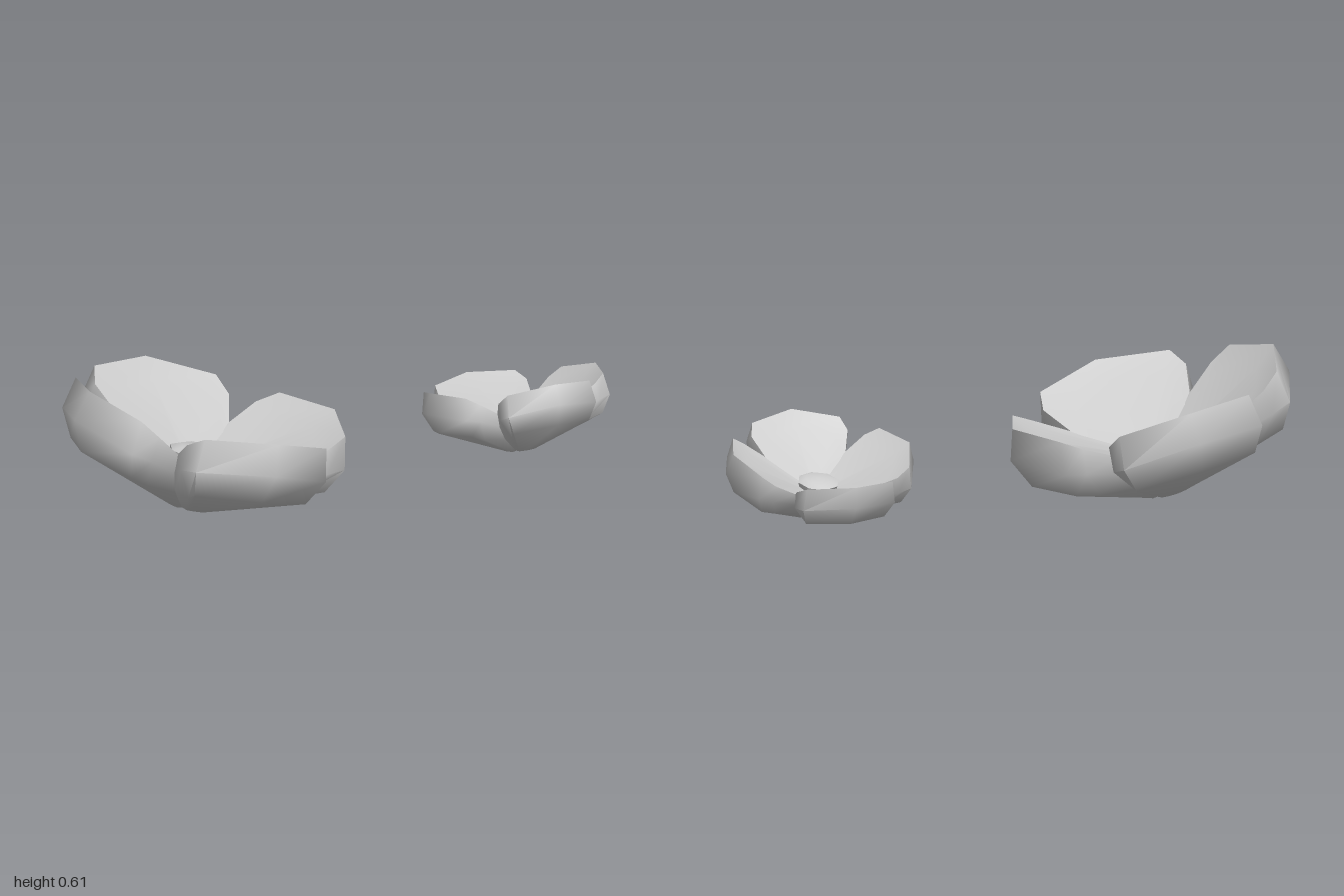
import * as THREE from 'three';
import { toCreasedNormals } from 'three/addons/utils/BufferGeometryUtils.js';

const material = new THREE.MeshStandardMaterial({ color: 0xcccccc });

// Each row runs notch, side, corner, tip as [outward, sideways, height]; the other half is mirrored.
const rows = [
  [[0, 0, 0], [0, 0, 0], [0, 0, 0], [0, 0, 0]],                                       // base centre
  [[0.07, 0.075, 0.008], [0.085, 0.055, 0], [0.095, 0.03, 0], [0.1, 0, 0]],           // flat foot
  [[0.185, 0.197, 0.105], [0.36, 0.23, 0.135], [0.47, 0.27, 0.175], [0.57, 0, 0.195]], // underside edge
  [[0.24, 0.254, 0.2], [0.425, 0.335, 0.27], [0.515, 0.315, 0.29], [0.635, 0, 0.33]], // widest line
  [[0.25, 0.263, 0.28], [0.41, 0.325, 0.375], [0.495, 0.295, 0.43], [0.595, 0, 0.46]], // top rim
  [[0.21, 0.223, 0.255], [0.34, 0.25, 0.32], [0.41, 0.22, 0.36], [0.5, 0, 0.385]],    // inside the cup
  [[0.06, 0.064, 0.18], [0.07, 0.045, 0.18], [0.08, 0.025, 0.18], [0.085, 0, 0.18]],  // under the centre
];

function petalGeometry() {
  const positions = [];
  const indices = [];
  const columns = 7;
  for (const row of rows) {
    for (let j = 0; j < columns; j++) {
      const [out, side, height] = row[j < 4 ? j : 6 - j];
      positions.push(out, height, j < 4 ? -side : side);
    }
  }
  for (let i = 0; i < rows.length - 1; i++) {
    for (let j = 0; j < columns - 1; j++) {
      const a = i * columns + j;
      const b = a + columns;
      if (i > 0) indices.push(a, b, a + 1);
      indices.push(a + 1, b, b + 1);
    }
  }
  const geometry = new THREE.BufferGeometry();
  geometry.setAttribute('position', new THREE.Float32BufferAttribute(positions, 3));
  geometry.setIndex(indices);
  return toCreasedNormals(geometry, 1.2);
}

// Low eight-sided button in the middle
function centreGeometry() {
  const profile = [[0, 0.16], [0.12, 0.17], [0.135, 0.23], [0.09, 0.25], [0, 0.255]];
  const geometry = new THREE.LatheGeometry(profile.map(([r, y]) => new THREE.Vector2(r, y)), 8);
  return toCreasedNormals(geometry, 0.8);
}

// Four petals around a button; twists turn single petals a little
function createFlower(name, petal, centre, twists) {
  const flower = new THREE.Group();
  flower.name = name;
  twists.forEach((twist, k) => {
    const mesh = new THREE.Mesh(petal, material);
    mesh.name = `petal${k + 1}`;
    mesh.rotation.y = Math.PI / 4 + (k * Math.PI) / 2 + twist;
    flower.add(mesh);
  });
  const button = new THREE.Mesh(centre, material);
  button.name = 'flowerCentre';
  flower.add(button);
  return flower;
}

// Lean a flower towards a horizontal direction (x, z)
function lean(flower, x, z, angle) {
  const axis = new THREE.Vector3(0, 1, 0).cross(new THREE.Vector3(x, 0, z)).normalize();
  flower.quaternion.setFromAxisAngle(axis, angle);
}

export function createModel() {
  const model = new THREE.Group();
  model.name = 'flowers';
  const petal = petalGeometry();
  const centre = centreGeometry();

  const large = createFlower('largeFlower', petal, centre, [0, 0, 0, 0]);
  large.position.set(-0.47, 0.022, 0.478);
  lean(large, 1, -1, 0.24);

  const small = createFlower('smallFlower', petal, centre, [0, 0.05, 0, 0]);
  small.scale.setScalar(0.655);
  small.position.set(0.655, 0.016, -0.577);
  lean(small, -1, -1, 0.25);

  model.add(large, small);
  return model;
}
